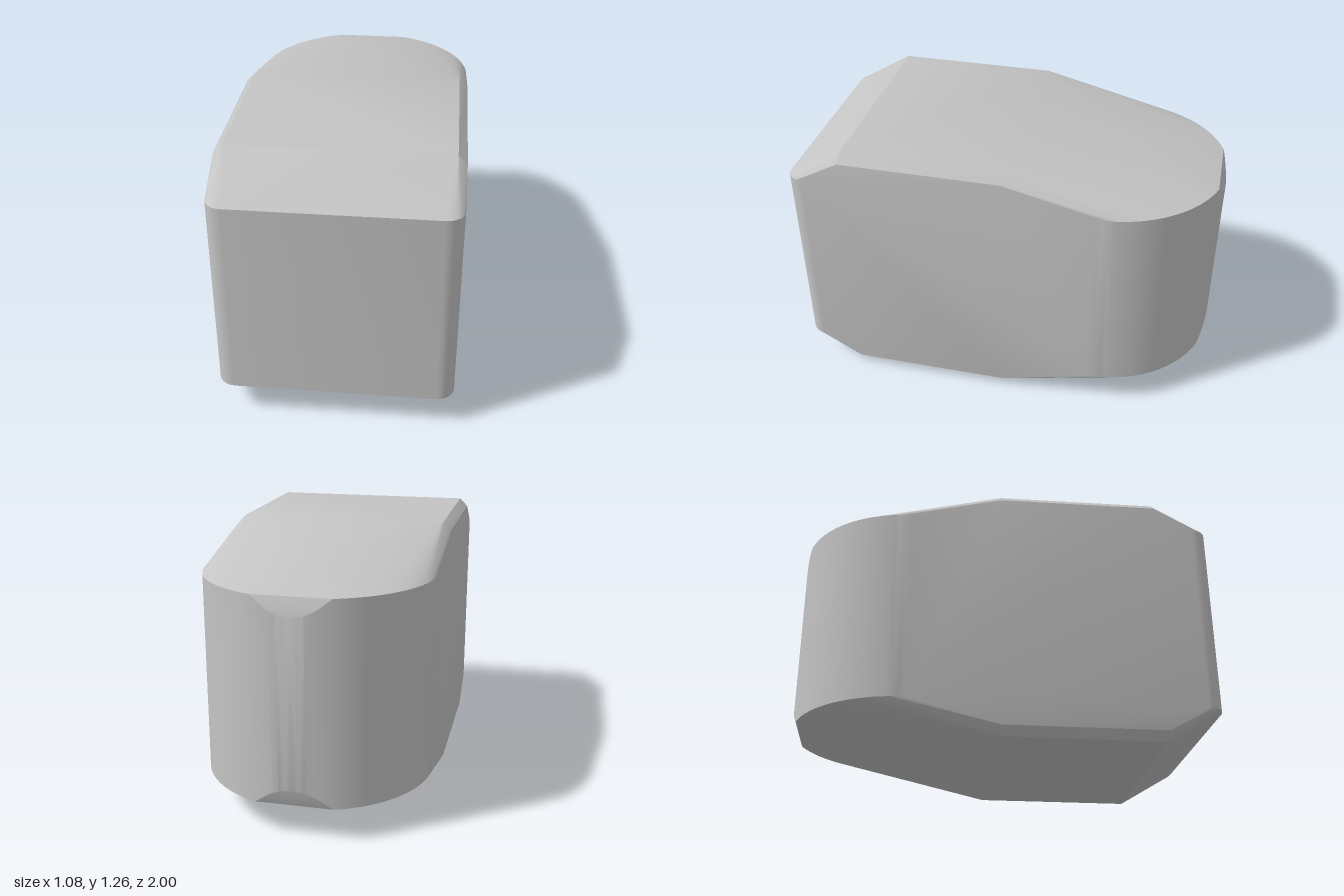
import * as THREE from 'three';
import { ConvexGeometry } from 'three/addons/geometries/ConvexGeometry.js';
import { toCreasedNormals } from 'three/addons/utils/BufferGeometryUtils.js';

const W = 0.54;        // half width
const TOP = 1.26;      // full height
const RIM = 1.105;     // upper rim height
const LOW = 0.157;     // lower rim height

export function createModel() {
  const grey = new THREE.MeshStandardMaterial({ color: 0xc4c4c4 });
  grey.name = 'grey';

  const points = [];
  const add = (x, y, z) => points.push(new THREE.Vector3(x, y, z));
  const addPair = (x, y, z) => { add(x, y, z); add(-x, y, z); };

  // Round back: the rims dip towards the middle, leaving a small bevel
  const arcSteps = 56;
  for (let i = 0; i <= arcSteps; i++) {
    const a = (i / arcSteps) * Math.PI;
    const x = W * Math.cos(a);
    const z = -0.46 - W * Math.sin(a);
    const dip = Math.max(0, 0.085 - 3 * (z + 1));
    add(x, RIM - dip, z);
    add(x, LOW + dip, z);
  }

  // Rounded front corners
  const r = 0.08;
  for (let i = 0; i <= 6; i++) {
    const a = (i / 6) * Math.PI / 2;
    const x = W - r + r * Math.cos(a);
    const z = 1 - r + r * Math.sin(a);
    addPair(x, RIM, z);
    addPair(x, LOW, z);
  }

  // Flat top and bottom with chamfered long edges
  for (const z of [0.73, -0.03]) {
    addPair(W - 0.04, TOP, z);
    addPair(W, TOP - 0.04, z);
    addPair(W - 0.04, 0, z);
    addPair(W, 0.04, z);
  }

  // Peak of the sloping back roof
  add(0, 1.213, -0.59);

  const body = new THREE.Mesh(toCreasedNormals(new ConvexGeometry(points), 0.35), grey);
  body.name = 'body';

  const group = new THREE.Group();
  group.name = 'roundedBlock';
  group.add(body);
  return group;
}
